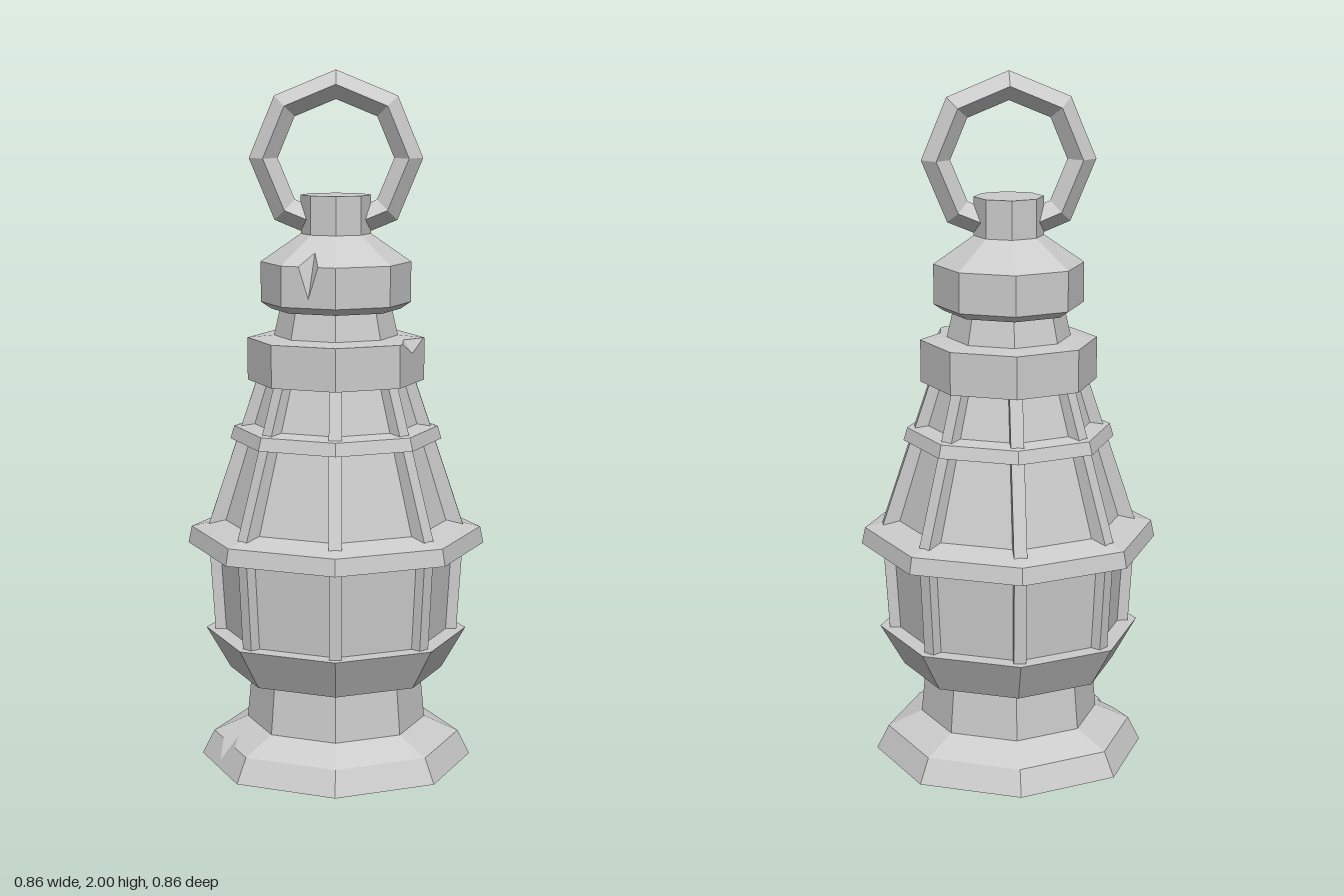
import * as THREE from 'three';

const SIDES = 8;
const material = new THREE.MeshStandardMaterial({ color: 0xcccccc, flatShading: true });

// Point on an octagonal ring of radius r at height y; corner 0 faces the front
function corner(i, [r, y]) {
  const a = (i / SIDES) * Math.PI * 2;
  return new THREE.Vector3(r * Math.sin(a), y, r * Math.cos(a));
}

// Octagonal section swept through a [radius, height] profile, bottom to top.
// A chip cuts a V notch in one side, where profile point `rim` is the broken edge.
function section(name, profile, chip) {
  const pos = [];
  const tri = (...pts) => pts.forEach((p) => pos.push(p.x, p.y, p.z));
  const fan = (hub, pts) => {
    for (let k = 0; k < pts.length - 1; k++) tri(hub, pts[k], pts[k + 1]);
  };

  for (let i = 0; i < SIDES; i++) {
    const A = profile.map((p) => corner(i, p));
    const B = profile.map((p) => corner(i + 1, p));
    const chipped = chip && chip.side === i;
    for (let k = 0; k < profile.length - 1; k++) {
      if (chipped && (k === chip.rim || k === chip.rim - 1)) continue;
      if (profile[k][0] > 0) tri(A[k], B[k], B[k + 1]);
      if (profile[k + 1][0] > 0) tri(A[k], B[k + 1], A[k + 1]);
    }
    if (chipped) {
      const n = chip.rim;
      const at = (k, t) => A[k].clone().lerp(B[k], t);
      const p = at(n, chip.from);
      const q = at(n, chip.to);
      const low = at(n, chip.mid).lerp(at(n - 1, chip.mid), chip.down);
      const back = at(n, chip.mid).lerp(at(n + 1, chip.mid), chip.inward);
      fan(low, [p, A[n], A[n - 1], B[n - 1], B[n], q]);
      fan(back, [q, B[n], B[n + 1], A[n + 1], A[n], p]);
      tri(p, low, back);
      tri(low, q, back);
    }
  }

  const geometry = new THREE.BufferGeometry();
  geometry.setAttribute('position', new THREE.Float32BufferAttribute(pos, 3));
  geometry.computeVertexNormals();
  const mesh = new THREE.Mesh(geometry, material);
  mesh.name = name;
  return mesh;
}

// Eight slanted bars on the corners; start and end give their outer edge
function ribs(name, start, end, width, depth) {
  const group = new THREE.Group();
  group.name = name;
  const dr = end[0] - start[0];
  const dy = end[1] - start[1];
  const geometry = new THREE.BoxGeometry(width, Math.hypot(dr, dy), depth);
  geometry.translate(0, 0, -depth / 2);
  geometry.rotateX(Math.atan2(dr, dy));
  geometry.translate(0, (start[1] + end[1]) / 2, (start[0] + end[0]) / 2);
  for (let i = 0; i < SIDES; i++) {
    const bar = new THREE.Mesh(geometry, material);
    bar.name = 'rib';
    bar.rotation.y = (i / SIDES) * Math.PI * 2;
    group.add(bar);
  }
  return group;
}

export function createModel() {
  const model = new THREE.Group();
  model.name = 'lantern';

  // Foot and stem
  model.add(
    section('base', [[0, 0], [0.395, 0], [0.36, 0.07], [0.25, 0.12], [0, 0.12]],
      { side: 6, rim: 2, from: 0.3, to: 0.65, mid: 0.45, down: 0.75, inward: 0.3 }),
    section('stem', [[0.262, 0.1], [0.245, 0.28]])
  );

  // Lower chamber
  model.add(
    section('bowl', [[0, 0.265], [0.31, 0.265], [0.38, 0.385], [0, 0.385]]),
    section('lowerGlass', [[0.328, 0.38], [0.345, 0.66]]),
    ribs('lowerRibs', [0.352, 0.38], [0.37, 0.66], 0.035, 0.05),
    section('belt', [[0, 0.645], [0.43, 0.64], [0.42, 0.688], [0.33, 0.71], [0, 0.71]])
  );

  // Tapered upper chamber
  model.add(
    section('upperGlass', [[0.33, 0.7], [0.2, 1.13]]),
    ribs('upperRibs', [0.37, 0.695], [0.225, 1.13], 0.037, 0.05),
    section('middleBand', [[0.2, 0.95], [0.305, 0.948], [0.294, 0.985], [0.2, 1.0]])
  );

  // Collar, neck and cap
  model.add(
    section('collar', [[0, 1.12], [0.254, 1.12], [0.254, 1.242], [0.17, 1.25], [0, 1.25]],
      { side: 1, rim: 2, from: 0.1, to: 0.95, mid: 0.5, down: 0.28, inward: 0.35 }),
    section('neck', [[0.18, 1.24], [0.157, 1.34]]),
    section('cap', [[0, 1.325], [0.185, 1.325], [0.215, 1.345], [0.215, 1.46], [0.1, 1.54], [0, 1.54]],
      { side: 7, rim: 3, from: 0.32, to: 0.68, mid: 0.5, down: 0.78, inward: 0.45 }),
    section('finial', [[0.1, 1.53], [0.1, 1.65], [0, 1.65]])
  );

  // Carrying ring with a diamond cross-section
  const ring = new THREE.Mesh(new THREE.TorusGeometry(0.206, 0.041, 4, SIDES), material);
  ring.name = 'carryRing';
  ring.position.y = 1.753;
  model.add(ring);

  return model;
}
